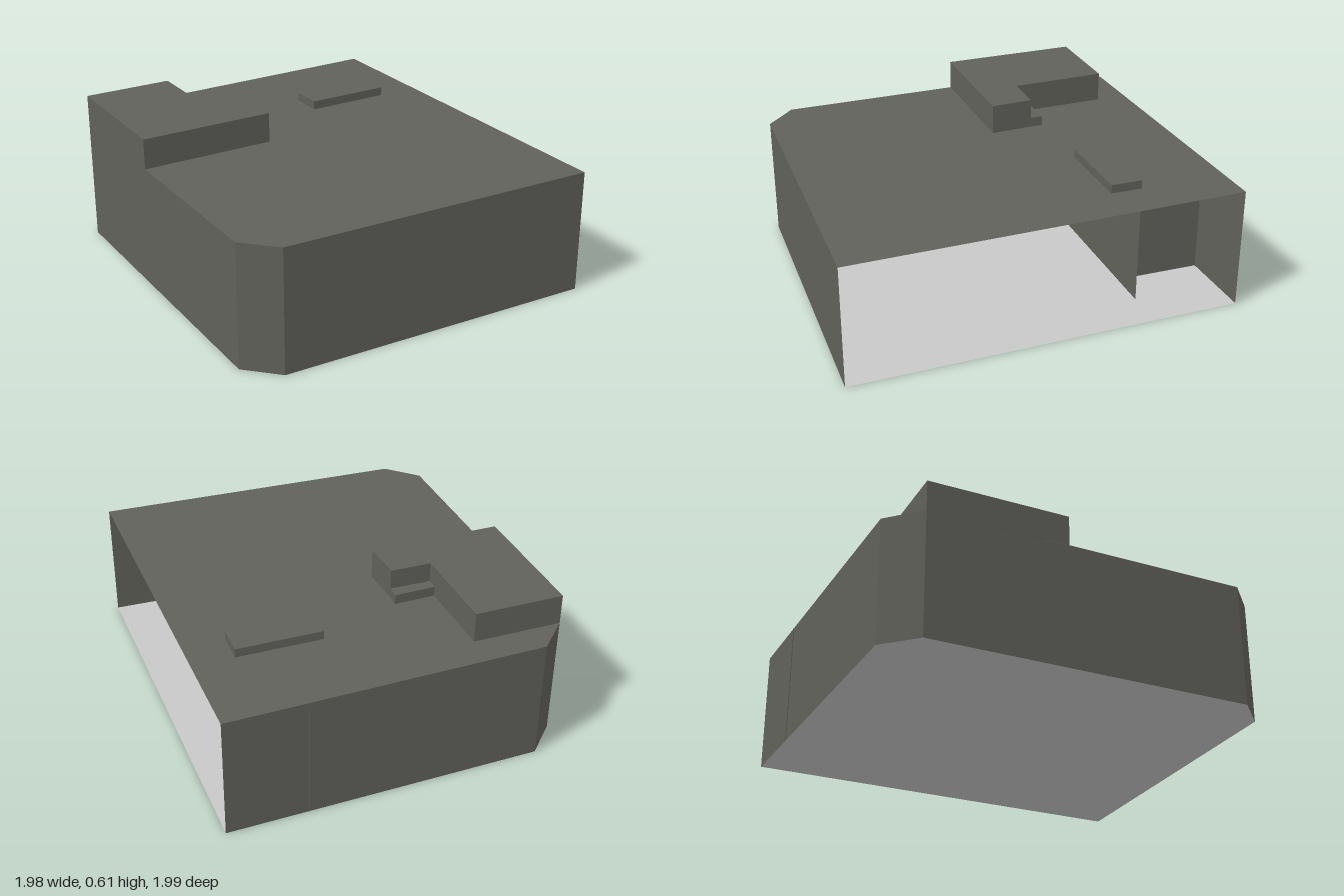
import * as THREE from 'three';

const ROOF = 0.49;
const concrete = new THREE.MeshStandardMaterial({ color: 0x60615a, side: THREE.DoubleSide });
concrete.name = 'darkConcrete';
const floorGrey = new THREE.MeshStandardMaterial({ color: 0xc8c8c8, side: THREE.DoubleSide });
floorGrey.name = 'lightFloor';

// Plan corners as [x, z], clockwise seen from above
const back = [0, -1], east = [0.985, 0.24];
const south = [[-0.04, 0.99], [-0.205, 0.97]];
const west = [[-0.99, -0.04], [-0.97, -0.21]];
const outline = [back, east, ...south, ...west];
const raised = [west[0], [-0.71, -0.26], [-0.47, 0.04], [-0.34, -0.06], [-0.23, 0.07], [-0.65, 0.4]];
const step = [[-0.5, 0.005], [-0.37, -0.1], [-0.34, -0.06], [-0.47, 0.04]];
const vent = [[0.09, -0.62], [0.165, -0.52], [-0.1, -0.31], [-0.18, -0.41]];

// Vertical strip of flat wall panels along a plan path
function walls(name, path, y0, y1) {
  const pos = [];
  for (let i = 0; i < path.length - 1; i++) {
    const [px, pz] = path[i], [qx, qz] = path[i + 1];
    pos.push(px, y0, pz, px, y1, pz, qx, y1, qz);
    pos.push(px, y0, pz, qx, y1, qz, qx, y0, qz);
  }
  const g = new THREE.BufferGeometry();
  g.setAttribute('position', new THREE.Float32BufferAttribute(pos, 3));
  g.computeVertexNormals();
  const mesh = new THREE.Mesh(g, concrete);
  mesh.name = name;
  return mesh;
}

// Horizontal sheet over a plan polygon, with optional openings
function slab(name, plan, y, material, holes = []) {
  const points = (p) => p.map(([x, z]) => new THREE.Vector2(x, -z));
  const shape = new THREE.Shape(points(plan));
  holes.forEach((h) => shape.holes.push(new THREE.Path(points(h))));
  const g = new THREE.ShapeGeometry(shape).rotateX(-Math.PI / 2).translate(0, y, 0);
  const mesh = new THREE.Mesh(g, material);
  mesh.name = name;
  return mesh;
}

// Hollow roof volume, open below
function roofBox(name, plan, top) {
  const group = new THREE.Group();
  group.name = name;
  group.add(walls(name + 'Sides', [...plan, plan[0]], ROOF, top));
  group.add(slab(name + 'Top', plan, top, concrete));
  return group;
}

export function createModel() {
  const model = new THREE.Group();
  model.name = 'building';

  // Shell, open along the back-to-east side
  model.add(slab('floor', outline, 0, floorGrey));
  model.add(walls('outerWalls', [east, ...south, ...west, back], 0, ROOF));

  // Main roof, notched around the raised volume and cut under the vent
  const roofPlan = [back, east, ...south, raised[5], raised[4], raised[3],
    step[1], step[0], raised[1], ...west];
  model.add(slab('mainRoof', roofPlan, ROOF, concrete, [vent]));

  // Volumes above the roof
  model.add(roofBox('raisedRoof', raised, 0.61));
  model.add(slab('roofStepTop', step, 0.53, concrete));
  model.add(walls('roofStepSides', [step[3], step[0], step[1], step[2]], ROOF, 0.53));
  model.add(roofBox('roofVent', vent, 0.525));

  // Interior partitions
  const partitions = [
    [[0.09, -0.62], [-0.585, -0.095]],
    [[-0.25, -0.8], [-0.04, -0.52]],
    [[-0.17, -0.67], [-0.71, -0.26]],
    [[-0.71, -0.26], [-0.44, 0.08], [-0.58, 0.19], [0.02, 0.945]],
  ];
  partitions.forEach((path, i) => model.add(walls('partition' + (i + 1), path, 0, ROOF)));

  return model;
}
